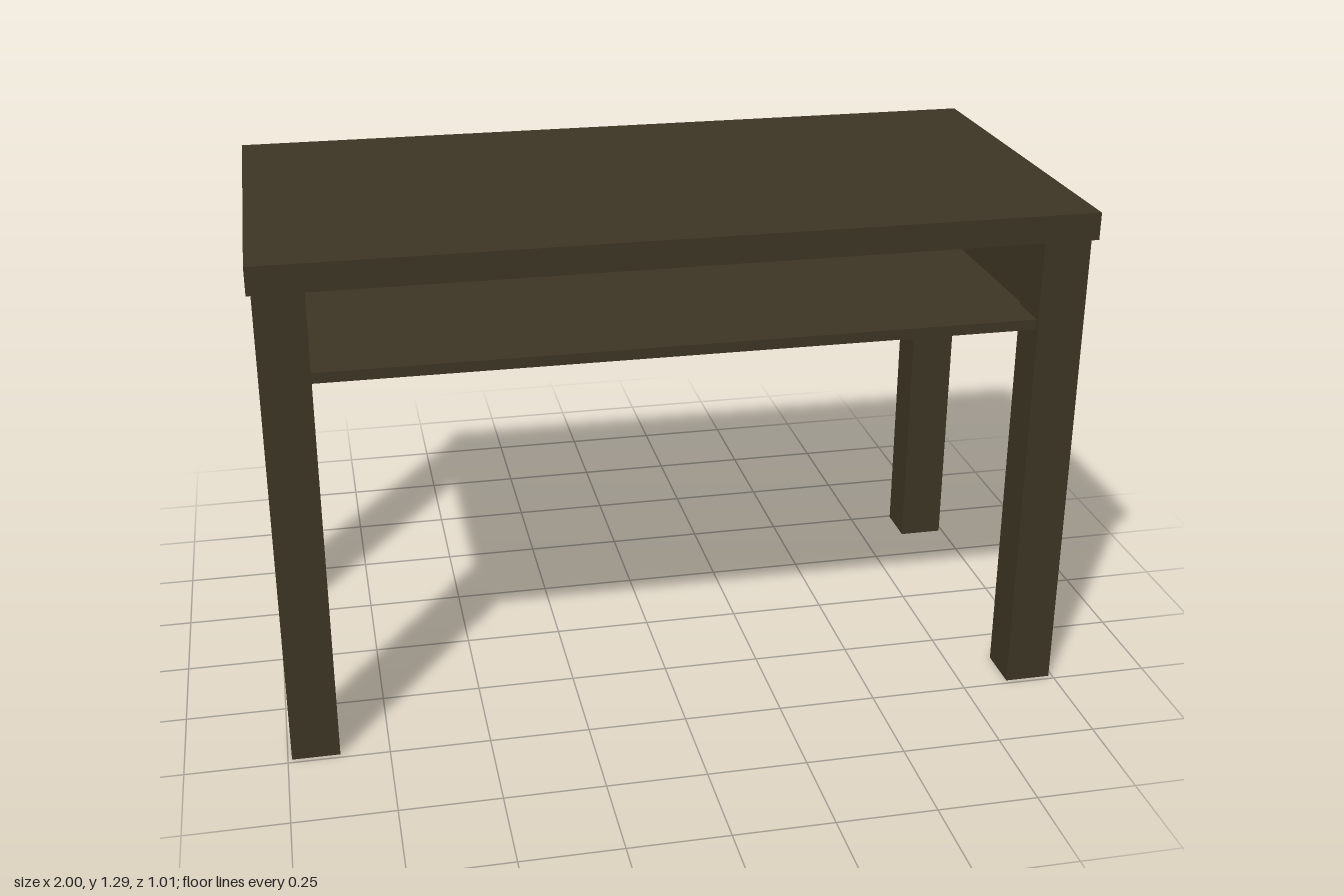
import * as THREE from 'three';

export function createModel() {
  const table = new THREE.Group();
  table.name = 'table';
  const wood = new THREE.MeshStandardMaterial({ color: 0x3d3524 });
  wood.name = 'dark wood';

  // Box given by its lower and upper limits on each axis
  function board(name, [x0, x1], [y0, y1], [z0, z1]) {
    const mesh = new THREE.Mesh(new THREE.BoxGeometry(x1 - x0, y1 - y0, z1 - z0), wood);
    mesh.position.set((x0 + x1) / 2, (y0 + y1) / 2, (z0 + z1) / 2);
    mesh.name = name;
    table.add(mesh);
  }

  const under = 1.22; // underside of the top
  const low = 0.99; // bottom of the shelf and aprons

  board('tableTop', [-1, 1], [under, 1.288], [-0.507, 0.507]);

  // Legs and side aprons, mirrored left and right
  for (const [side, s] of [['left', 1], ['right', -1]]) {
    const span = (a, b) => (s > 0 ? [a, b] : [-b, -a]);
    board(side + 'FrontLeg', span(0.872, 0.99), [0, under], [0.368, 0.487]);
    board(side + 'BackLeg', span(0.872, 0.99), [0, under], [-0.493, -0.374]);
    board(side + 'Apron', span(0.88, 0.906), [low, under], [-0.374, 0.368]);
  }

  // Back apron and the open-fronted shelf
  board('backApron', [-0.872, 0.872], [low, under], [-0.468, -0.443]);
  board('shelfFront', [-0.872, 0.872], [low, 1.016], [0.368, 0.478]);
  board('shelf', [-0.88, 0.88], [low, 1.016], [-0.374, 0.368]);
  board('shelfBack', [-0.872, 0.872], [low, 1.016], [-0.443, -0.374]);

  return table;
}
